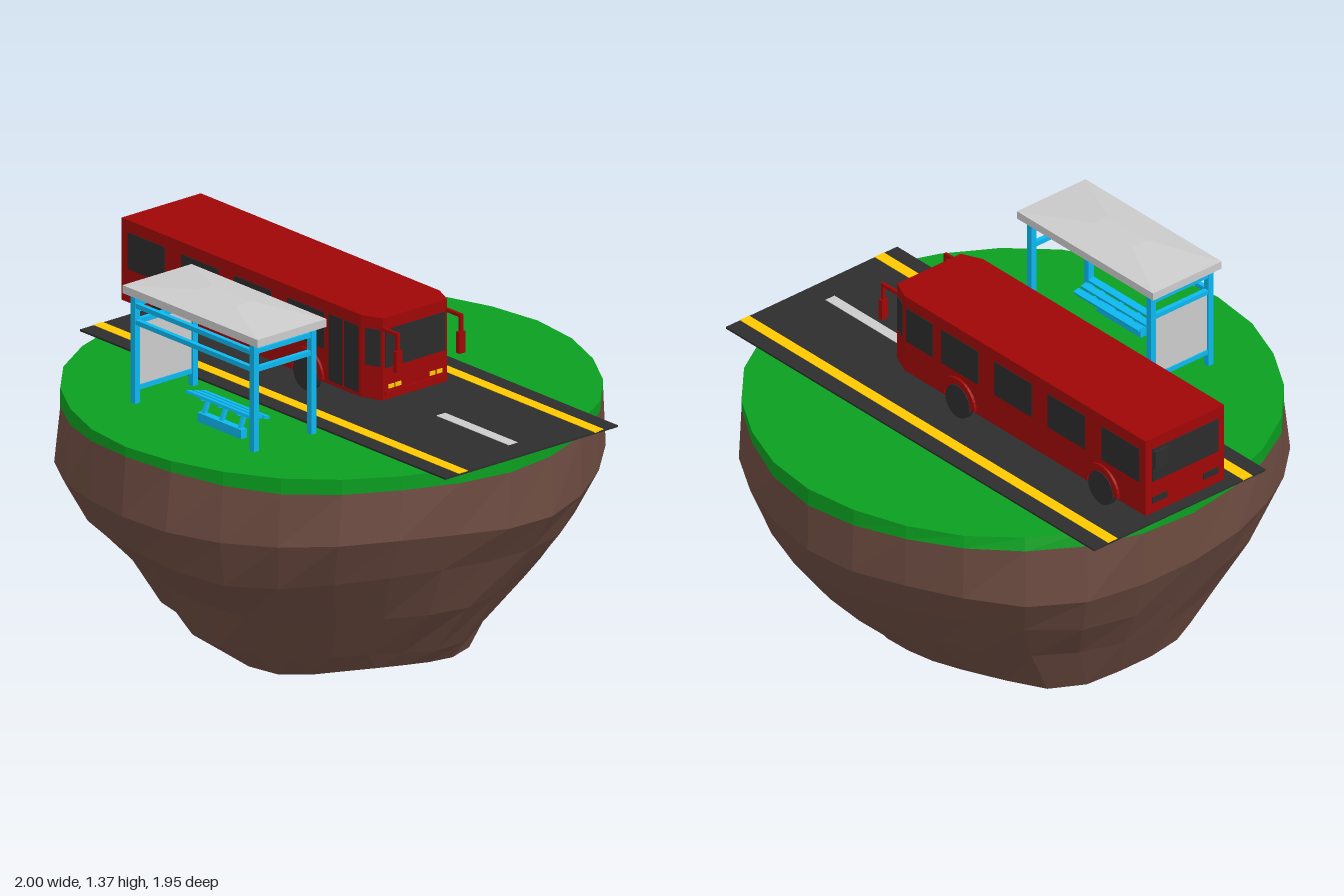
import * as THREE from 'three';

const mat = color => new THREE.MeshStandardMaterial({ color, flatShading: true });
const RED = mat(0xa00606), DARK = mat(0x2d2d2d), GLASS = mat(0x2b2b2b), GREEN = mat(0x0a9f20),
  BROWN = mat(0x6d4c41), YELLOW = mat(0xffc800), BLUE = mat(0x0cb8f0), GREY = mat(0xc0c0c0);

function add(parent, name, geo, material, x = 0, y = 0, z = 0) {
  const m = new THREE.Mesh(geo, material);
  m.name = name;
  m.position.set(x, y, z);
  parent.add(m);
  return m;
}

// box given by its extents on each axis
function span(parent, name, material, [x0, x1], [y0, y1], [z0, z1]) {
  return add(parent, name, new THREE.BoxGeometry(x1 - x0, y1 - y0, z1 - z0), material,
    (x0 + x1) / 2, (y0 + y1) / 2, (z0 + z1) / 2);
}

// square bar between two points
function bar(parent, name, material, a, b, r) {
  const p = new THREE.Vector3(...a), q = new THREE.Vector3(...b);
  const d = q.clone().sub(p);
  const m = add(parent, name, new THREE.BoxGeometry(2 * r, d.length(), 2 * r), material);
  m.position.copy(p).add(q).multiplyScalar(0.5);
  m.quaternion.setFromUnitVectors(new THREE.Vector3(0, 1, 0), d.normalize());
}

// closed loft through rings listed from top to bottom
function loft(rings) {
  const n = rings[0].length, pos = [], idx = [];
  rings.forEach(r => r.forEach(p => pos.push(...p)));
  const centre = r => {
    const c = [0, 1, 2].map(k => r.reduce((s, p) => s + p[k], 0) / n);
    return pos.push(...c) / 3 - 1;
  };
  const top = centre(rings[0]), bottom = centre(rings[rings.length - 1]);
  const last = (rings.length - 1) * n;
  for (let i = 0; i < n; i++) {
    const k = (i + 1) % n;
    for (let j = 0; j < last; j += n)
      idx.push(j + n + i, j + i, j + n + k, j + i, j + k, j + n + k);
    idx.push(top, k, i, bottom, last + i, last + k);
  }
  const g = new THREE.BufferGeometry();
  g.setAttribute('position', new THREE.Float32BufferAttribute(pos, 3));
  g.setIndex(idx);
  g.computeVertexNormals();
  return g;
}

// irregular ring fitted to x and z limits, hollowed near the front and swollen at the back right
function islandRing(y, x0, x1, z0, z1, seed, rough, lift, hollow = 0, swell = 0) {
  const hump = (a, mid, width) => Math.exp(-(((a - mid) / width) ** 2));
  return Array.from({ length: 28 }, (_, i) => {
    const a = i / 28 * Math.PI * 2;
    const w = 1 - hollow * hump(a, 2.05, 0.4) + swell * hump(a, 3.75, 0.4)
      - rough * (0.5 + 0.5 * Math.sin(3 * a + seed * 0.7) * Math.cos(5 * a + seed * 1.3));
    return [(x0 + x1) / 2 + (x1 - x0) / 2 * w * Math.cos(a),
      y + lift * Math.sin(4 * a + seed * 0.9) * Math.cos(a - seed),
      (z0 + z1) / 2 + (z1 - z0) / 2 * w * Math.sin(a)];
  });
}

function buildIsland() {
  const g = new THREE.Group();
  g.name = 'island';
  const seam = islandRing(0.855, -0.955, 0.975, -0.985, 0.96, 2, 0.015, 0.018, 0, 0.015);
  add(g, 'grass', loft([islandRing(0.908, -0.955, 0.975, -0.985, 0.96, 2, 0.015, 0), seam]), GREEN);
  add(g, 'rock', loft([
    seam,
    islandRing(0.65, -0.955, 0.985, -0.99, 0.99, 3, 0.025, 0.025, 0, 0.035),
    islandRing(0.48, -0.87, 0.89, -0.91, 0.92, 4, 0.03, 0.025, 0.02, 0.04),
    islandRing(0.29, -0.78, 0.78, -0.76, 0.77, 5, 0.05, 0.025, 0.1, 0.05),
    islandRing(0.1, -0.69, 0.64, -0.57, 0.64, 6, 0.05, 0.02, 0.17, 0.07),
    islandRing(0.02, -0.53, 0.59, -0.5, 0.52, 7, 0.05, 0.02, 0.08, 0.04),
  ]), BROWN);
  return g;
}

function buildRoad() {
  const g = new THREE.Group();
  g.name = 'road';
  span(g, 'asphalt', DARK, [-0.97, 1], [0.908, 0.915], [-0.492, 0.315]);
  for (const z of [-0.404, 0.23]) span(g, 'edgeLine', YELLOW, [-0.97, 1], [0.912, 0.917], [z - 0.022, z + 0.022]);
  for (const x of [-0.03, 0.705]) span(g, 'centreDash', GREY, [x - 0.195, x + 0.195], [0.912, 0.917], [-0.11, -0.068]);
  return g;
}

function buildBus() {
  const g = new THREE.Group();
  g.name = 'bus';
  g.position.z = -0.081;

  // body: plan outline with a tapered nose
  const plan = new THREE.Shape([[-0.988, -0.185], [0.3, -0.185], [0.38, -0.15], [0.38, 0.15], [0.3, 0.185], [-0.988, 0.185]]
    .map(p => new THREE.Vector2(...p)));
  add(g, 'body', new THREE.ExtrudeGeometry(plan, { depth: 0.31, bevelEnabled: false }).rotateX(-Math.PI / 2), RED, 0, 0.97);

  // arch above each wheel
  const arch = new THREE.Shape();
  arch.absarc(0, 0, 0.095, 0, Math.PI, false);
  arch.absarc(0, 0, 0.07, Math.PI, 0, true);
  const archGeo = new THREE.ExtrudeGeometry(arch, { depth: 0.016, bevelEnabled: false, curveSegments: 8 }).translate(0, 0, -0.008);
  const wheelGeo = new THREE.CylinderGeometry(0.065, 0.065, 0.024, 18).rotateX(Math.PI / 2);

  for (const s of [-1, 1]) {
    for (const x of [-0.755, 0.01]) {
      add(g, 'wheel', wheelGeo, DARK, x, 0.98, s * 0.181);
      add(g, 'wheelArch', archGeo, RED, x, 0.98, s * 0.187);
    }
    for (const x of [-0.855, -0.565, -0.28, 0.005])
      add(g, 'sideWindow', new THREE.BoxGeometry(0.2, 0.138, 0.004), GLASS, x, 1.165, s * 0.185);
    // angled pane beside the windscreen
    add(g, 'cornerWindow', new THREE.BoxGeometry(0.06, 0.138, 0.004), GLASS, 0.345, 1.165, s * 0.166).rotation.y = s * 0.412;
    // headlights, tail lights and mirrors
    for (const z of [0.08, 0.113]) span(g, 'headlight', YELLOW, [0.37, 0.384], [1.01, 1.025], [s * z - 0.013, s * z + 0.013]);
    span(g, 'tailLight', GLASS, [-0.992, -0.98], [1.01, 1.035], [s * 0.12 - 0.035, s * 0.12 + 0.035]);
    bar(g, 'mirrorArm', RED, [0.36, 1.24, s * 0.148], [0.463, 1.24, s * 0.148], 0.006);
    bar(g, 'mirrorDrop', RED, [0.457, 1.24, s * 0.148], [0.457, 1.17, s * 0.148], 0.006);
    span(g, 'mirror', RED, [0.448, 0.466], [1.1, 1.18], [s * 0.148 - 0.014, s * 0.148 + 0.014]);
  }
  span(g, 'door', GLASS, [0.13, 0.29], [0.985, 1.235], [0.18, 0.187]);
  span(g, 'doorDivider', RED, [0.207, 0.213], [0.985, 1.235], [0.18, 0.189]);
  span(g, 'driverWindow', GLASS, [0.15, 0.29], [1.096, 1.234], [-0.187, -0.18]);
  span(g, 'windscreen', GLASS, [0.37, 0.383], [1.09, 1.235], [-0.14, 0.14]);
  span(g, 'frontBumper', RED, [0.37, 0.386], [0.985, 1.0], [-0.14, 0.14]);
  span(g, 'rearWindow', GLASS, [-0.991, -0.98], [1.1, 1.235], [-0.155, 0.155]);
  span(g, 'rearVent', DARK, [-1, -0.98], [1.155, 1.225], [-0.15, -0.09]);
  return g;
}

function buildShelter() {
  const g = new THREE.Group();
  g.name = 'busShelter';
  const X = [-0.303, 0.337], Z = [0.364, 0.634];

  // hipped roof over a thin slab
  const rect = (y, x0, x1, z0, z1) => [[x1, y, z0], [x1, y, z1], [x0, y, z1], [x0, y, z0]];
  add(g, 'roof', loft([rect(1.368, -0.09, 0.12, 0.46, 0.53), rect(1.345, -0.345, 0.383, 0.335, 0.658), rect(1.315, -0.345, 0.383, 0.335, 0.658)]), GREY);

  // posts and rails
  for (const x of X) {
    for (const z of Z) bar(g, 'post', BLUE, [x, 0.908, z], [x, 1.32, z], 0.012);
    for (const y of [1.283, 1.215]) bar(g, 'sideRail', BLUE, [x, y, Z[0]], [x, y, Z[1]], 0.009);
  }
  for (const y of [1.278, 1.215]) bar(g, 'longRail', BLUE, [X[0], y, Z[1]], [X[1], y, Z[1]], 0.009);
  bar(g, 'lowerRail', BLUE, [X[0], 0.965, Z[0]], [X[0], 0.965, Z[1]], 0.009);
  span(g, 'sidePanel', GREY, [X[0] - 0.004, X[0] + 0.004], [0.965, 1.215], [0.375, 0.625]);

  // bench with tilted slats on a low base
  span(g, 'benchBase', BLUE, [-0.015, 0.22], [0.908, 0.943], [0.567, 0.594]);
  for (const x of [0.005, 0.1, 0.2]) {
    bar(g, 'benchLeg', BLUE, [x, 0.94, 0.58], [x, 0.99, 0.558], 0.007);
    bar(g, 'benchBracket', BLUE, [x, 0.978, 0.515], [x, 0.998, 0.595], 0.005);
  }
  [0.52, 0.555, 0.59].forEach((z, i) => {
    const slat = add(g, 'benchSlat', new THREE.BoxGeometry(0.345, 0.01, 0.026), BLUE, 0.103, 0.988 + i * 0.009, z);
    slat.rotation.x = -0.25;
  });
  return g;
}

export function createModel() {
  const model = new THREE.Group();
  model.name = 'busStopIsland';
  model.add(buildIsland(), buildRoad(), buildBus(), buildShelter());
  return model;
}
